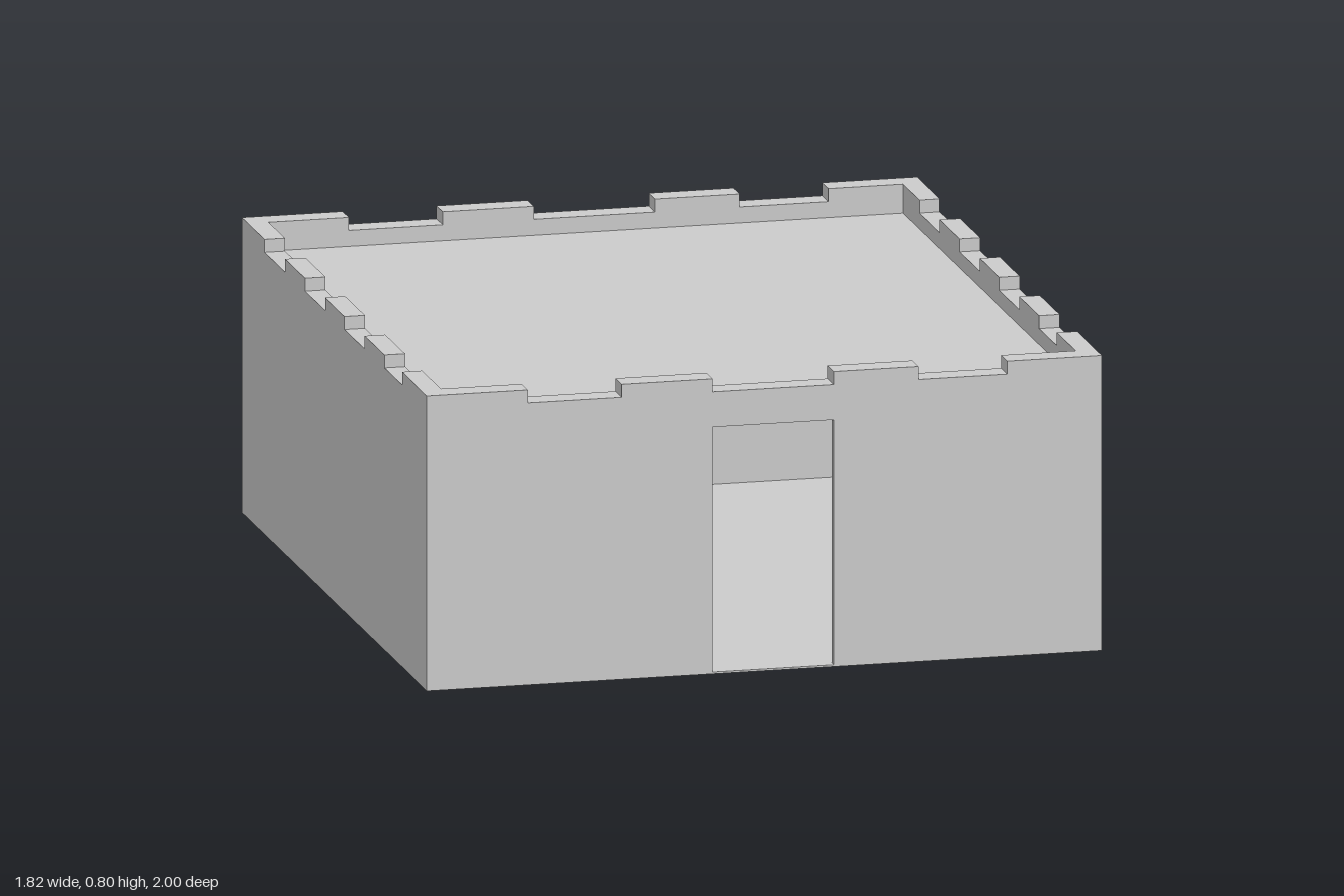
import * as THREE from 'three';

const W = 0.91, D = 1.0;            // half width and half depth
const H = 0.795, NOTCH = 0.76;      // merlon top and crenel bottom
const CEIL = 0.695, ROOF = 0.717;   // underside and top of the roof
const FLOOR = 0.005, WALL = 0.02;   // floor height and wall thickness
const PX = 0.055, PZ = 0.067;       // parapet thickness on the sides and on front/back

export function createModel() {
  const group = new THREE.Group();
  const material = new THREE.MeshStandardMaterial({ color: 0xcccccc, flatShading: true });

  function add(name, geometry, x, y, z, turn = 0) {
    const mesh = new THREE.Mesh(geometry, material);
    mesh.name = name;
    mesh.position.set(x, y, z);
    mesh.rotation.y = turn;
    group.add(mesh);
  }

  function box(name, x0, x1, y0, y1, z0, z1) {
    add(name, new THREE.BoxGeometry(x1 - x0, y1 - y0, z1 - z0),
      (x0 + x1) / 2, (y0 + y1) / 2, (z0 + z1) / 2);
  }

  const extrude = (shape, depth) =>
    new THREE.ExtrudeGeometry(shape, { depth, bevelEnabled: false });

  // Crenellated strip from a to b, with the notches listed as [start, end]
  function parapet(a, b, notches, depth) {
    const s = new THREE.Shape();
    s.moveTo(b, CEIL);
    s.lineTo(b, H);
    for (const [n0, n1] of [...notches].reverse()) {
      s.lineTo(n1, H);
      s.lineTo(n1, NOTCH);
      s.lineTo(n0, NOTCH);
      s.lineTo(n0, H);
    }
    s.lineTo(a, H);
    s.lineTo(a, CEIL);
    s.closePath();
    return extrude(s, depth);
  }

  // Front wall with an open doorway
  const front = new THREE.Shape();
  front.moveTo(-W, 0);
  front.lineTo(W, 0);
  front.lineTo(W, CEIL);
  front.lineTo(-W, CEIL);
  front.closePath();
  const door = new THREE.Path();
  door.moveTo(-0.14, FLOOR);
  door.lineTo(-0.14, 0.665);
  door.lineTo(0.187, 0.665);
  door.lineTo(0.187, FLOOR);
  door.closePath();
  front.holes.push(door);
  add('frontWall', extrude(front, WALL), 0, 0, D - WALL);

  // Remaining walls of the hollow room
  box('backWall', -W, W, 0, CEIL, -D, -D + WALL);
  box('leftWall', W - WALL, W, 0, CEIL, -D + WALL, D - WALL);
  box('rightWall', -W, -W + WALL, 0, CEIL, -D + WALL, D - WALL);

  // Floor and sunken flat roof
  box('floor', -W + WALL, W - WALL, 0, FLOOR, -D + WALL, D - WALL);
  box('roof', -W + PX, W - PX, CEIL, ROOF, -D + PZ, D - PZ);

  // Battlements along the front and back
  const across = [[-0.638, -0.385], [-0.14, 0.187], [0.415, 0.655]];
  add('frontParapet', parapet(-W, W, across, PZ), 0, 0, D - PZ);
  add('backParapet', parapet(-W, W, across, PZ), 0, 0, -D);

  // Battlements along the sides, turned so the strip runs from front to back
  const along = [[-0.73, -0.54], [-0.327, -0.11], [0.103, 0.32], [0.535, 0.755]];
  add('leftParapet', parapet(-D + PZ, D - PZ, along, PX), W - PX, 0, 0, Math.PI / 2);
  add('rightParapet', parapet(-D + PZ, D - PZ, along, PX), -W, 0, 0, Math.PI / 2);

  return group;
}
